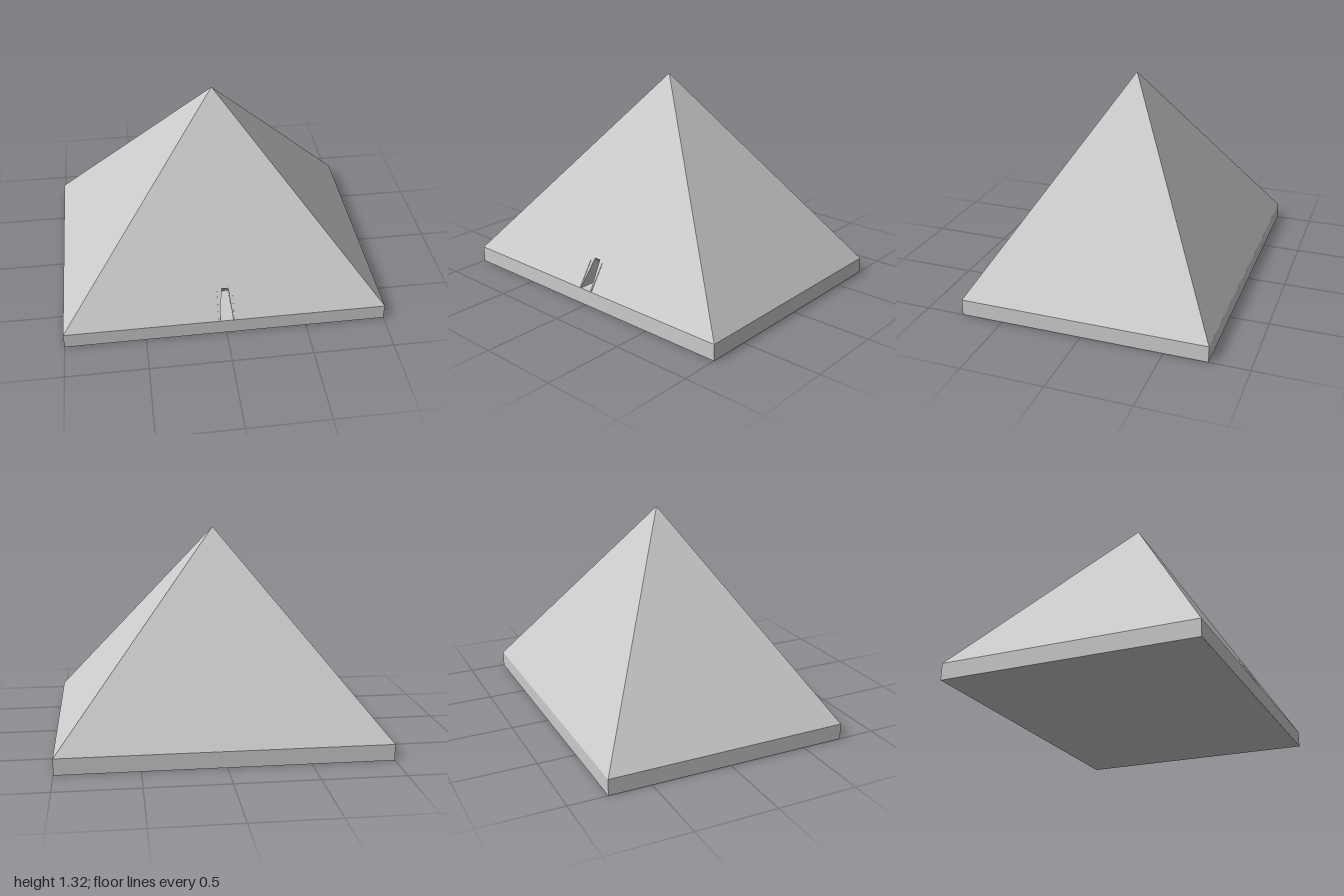
import * as THREE from 'three';

const W = 1, D = 0.763, BASE = 0.1, TOP = 1.315;
const slopeZ = (y) => D * (1 - (y - BASE) / (TOP - BASE));

export function createModel() {
  const model = new THREE.Group();
  const mat = new THREE.MeshStandardMaterial({ color: 0xcccccc, flatShading: true, side: THREE.DoubleSide });

  const add = (name, geometry) => {
    const mesh = new THREE.Mesh(geometry, mat);
    mesh.name = name;
    model.add(mesh);
    return mesh;
  };

  // Convex flat panel from corners listed counter-clockwise
  const panel = (name, corners) => {
    const g = new THREE.BufferGeometry();
    const pos = [];
    for (let i = 1; i < corners.length - 1; i++) pos.push(...corners[0], ...corners[i], ...corners[i + 1]);
    g.setAttribute('position', new THREE.Float32BufferAttribute(pos, 3));
    g.computeVertexNormals();
    return add(name, g);
  };

  // Base slab
  add('base', new THREE.BoxGeometry(2 * W, BASE, 2 * D)).position.y = BASE / 2;

  // Front slope with a tapered doorway notched into its lower edge
  const doorW = 0.042, doorTopW = 0.02, doorTop = 0.27;
  const outline = new THREE.Shape([
    [-W, BASE], [-doorW, BASE], [-doorTopW, doorTop], [doorTopW, doorTop],
    [doorW, BASE], [W, BASE], [0, TOP],
  ].map(([x, y]) => new THREE.Vector2(x, y)));
  const front = new THREE.ShapeGeometry(outline);
  const p = front.attributes.position;
  for (let i = 0; i < p.count; i++) p.setZ(i, slopeZ(p.getY(i)));
  front.computeVertexNormals();
  add('frontSlope', front);

  // Remaining slopes
  const apex = [0, TOP, 0];
  panel('leftSlope', [[W, BASE, D], [W, BASE, -D], apex]);
  panel('backSlope', [[W, BASE, -D], [-W, BASE, -D], apex]);
  panel('rightSlope', [[-W, BASE, -D], [-W, BASE, D], apex]);

  // Entrance recess: overhanging back wall and two side walls
  const backZ = 0.5, topZ = slopeZ(doorTop);
  panel('entranceBack', [
    [-doorW, BASE, backZ], [doorW, BASE, backZ],
    [doorTopW, doorTop, topZ], [-doorTopW, doorTop, topZ],
  ]);
  for (const s of [-1, 1]) {
    const wall = [[s * doorW, BASE, D], [s * doorW, BASE, backZ], [s * doorTopW, doorTop, topZ]];
    panel('entranceWall', s < 0 ? wall : wall.reverse());

    // Thin door jamb lying on the slope
    const jamb = add('doorJamb', new THREE.BoxGeometry(0.005, 0.18, 0.006));
    jamb.position.set(s * 0.048, 0.18, slopeZ(0.18));
    jamb.rotation.x = -Math.atan2(D, TOP - BASE);
  }
  return model;
}
